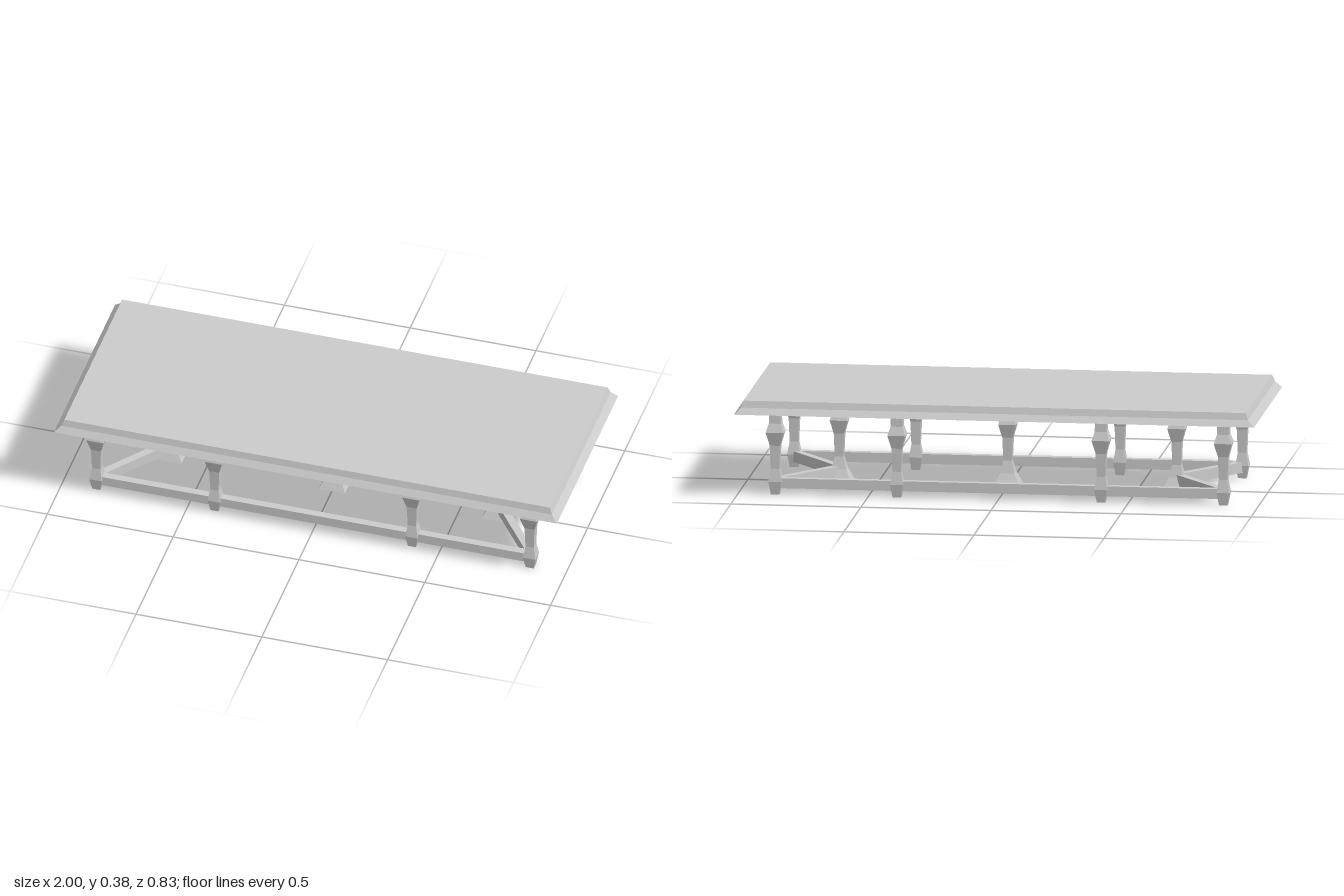
import * as THREE from 'three';

const material = new THREE.MeshStandardMaterial({ color: 0xcccccc, flatShading: true });

// Closed rectangular loft; each ring is [y, halfWidth, halfDepth = halfWidth], bottom to top
function loft(rings) {
  const positions = [];
  const index = [];
  for (const [y, hx, hz = hx] of rings) {
    positions.push(-hx, y, hz, hx, y, hz, hx, y, -hz, -hx, y, -hz);
  }
  for (let r = 0; r < rings.length - 1; r++) {
    for (let i = 0; i < 4; i++) {
      const a = r * 4 + i, b = r * 4 + (i + 1) % 4;
      index.push(a, b, b + 4, a, b + 4, a + 4);
    }
  }
  const t = (rings.length - 1) * 4;
  index.push(0, 2, 1, 0, 3, 2, t, t + 1, t + 2, t, t + 2, t + 3);
  const indexed = new THREE.BufferGeometry();
  indexed.setAttribute('position', new THREE.Float32BufferAttribute(positions, 3));
  indexed.setIndex(index);
  const geometry = indexed.toNonIndexed();
  geometry.computeVertexNormals();
  return geometry;
}

export function createModel() {
  const group = new THREE.Group();
  const add = (name, geometry, x = 0, y = 0, z = 0) => {
    const mesh = new THREE.Mesh(geometry, material);
    mesh.name = name;
    mesh.position.set(x, y, z);
    group.add(mesh);
    return mesh;
  };

  // Horizontal rail between two points in plan
  const rail = (name, x1, z1, x2, z2, low, high, width) => {
    const length = Math.hypot(x2 - x1, z2 - z1);
    const mesh = add(name, new THREE.BoxGeometry(length, high - low, width),
      (x1 + x2) / 2, (low + high) / 2, (z1 + z2) / 2);
    mesh.rotation.y = -Math.atan2(z2 - z1, x2 - x1);
  };

  // Table top with a moulded edge
  add('tableTop', loft([[0.33, 1, 0.413], [0.355, 0.975, 0.396], [0.381, 0.965, 0.389]]));

  // Square turned legs and flared centre pedestals share the middle profile
  const shaft = [[0.1, 0.0165], [0.19, 0.02], [0.242, 0.034], [0.276, 0.023]];
  const legGeometry = loft([[0, 0.016], [0.05, 0.025], ...shaft, [0.33, 0.022]]);
  const pedestalGeometry = loft([[0, 0.052], [0.053, 0.028], ...shaft, [0.33, 0.072]]);

  const legX = [-0.865, -0.395, 0.39, 0.858];
  const pedestalX = [-0.65, 0, 0.648];
  const sides = { front: 0.283, back: -0.272 };
  const centreZ = 0.004;

  for (const x of pedestalX) add('pedestal', pedestalGeometry, x, 0, centreZ);

  for (const [side, z] of Object.entries(sides)) {
    for (const x of legX) add(side + 'Leg', legGeometry, x, 0, z);
    // Long stretcher, and diagonal braces from the corner legs to the end pedestals
    rail(side + 'Stretcher', legX[0], z, legX[3], z, 0.025, 0.063, 0.03);
    rail(side + 'RightBrace', legX[0], z, pedestalX[0], centreZ, 0.022, 0.063, 0.03);
    rail(side + 'LeftBrace', legX[3], z, pedestalX[2], centreZ, 0.022, 0.063, 0.03);
  }

  return group;
}
